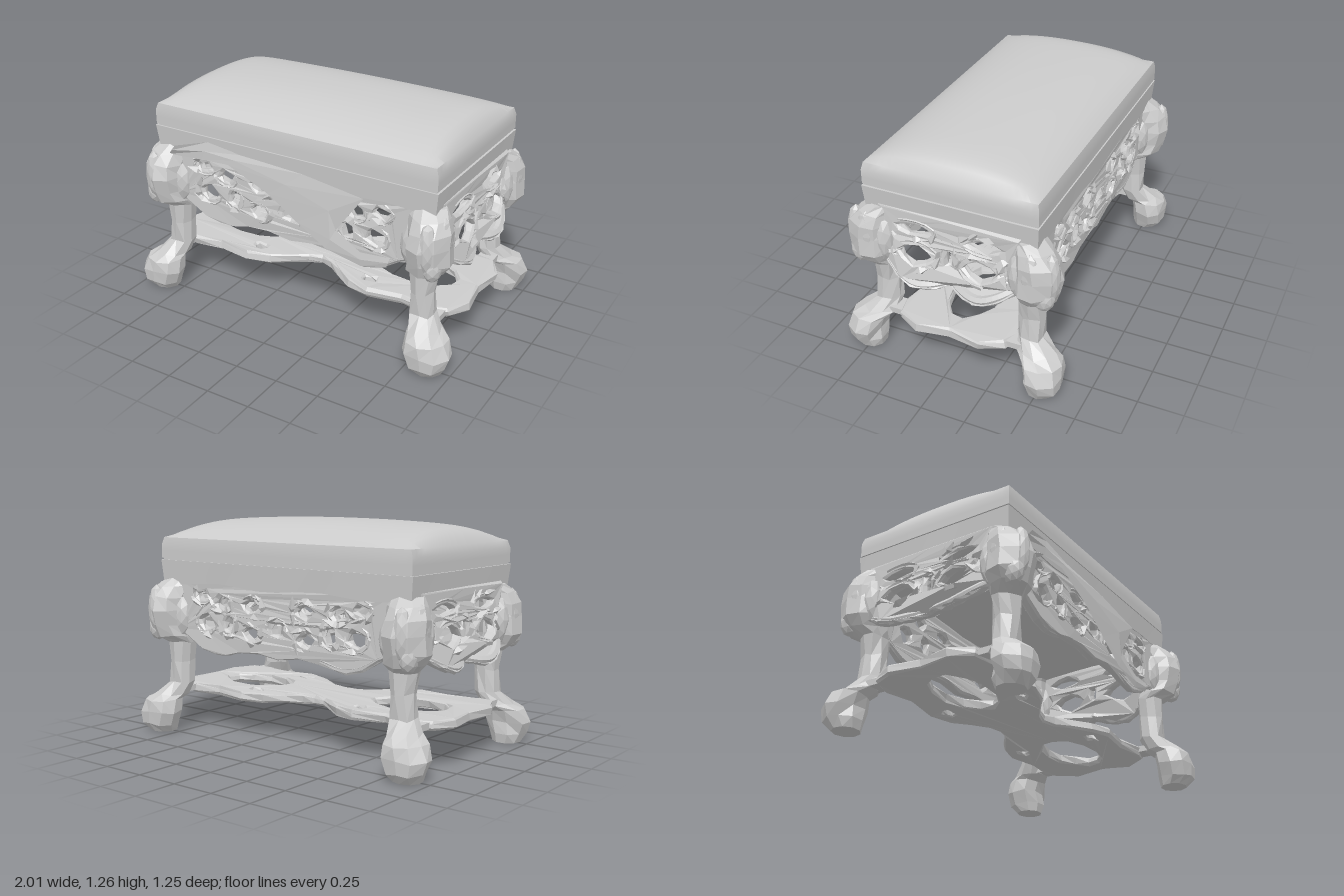
import * as THREE from 'three';
import { toCreasedNormals } from 'three/addons/utils/BufferGeometryUtils.js';

const smooth = new THREE.MeshStandardMaterial({ color: 0xcccccc });
const carved = new THREE.MeshStandardMaterial({ color: 0xcccccc, flatShading: true, side: THREE.DoubleSide });

let seed = 7;
const rand = () => (seed = (seed * 16807) % 2147483647) / 2147483647;

function add(parent, name, geometry, material = carved) {
  const mesh = new THREE.Mesh(geometry, material);
  mesh.name = name;
  parent.add(mesh);
  return mesh;
}

// Apply a rule to every vertex
function warp(geometry, rule) {
  const p = geometry.attributes.position, v = new THREE.Vector3();
  for (let i = 0; i < p.count; i++) {
    v.fromBufferAttribute(p, i);
    rule(v, i);
    p.setXYZ(i, v.x, v.y, v.z);
  }
  geometry.computeVertexNormals();
  return geometry;
}

// Same small offset for coincident vertices, for a hand-cut surface
function chisel(v, a) {
  const n = (k) => Math.sin(Math.round(v.x * 500) * 1.7 + Math.round(v.y * 500) * 2.3 + Math.round(v.z * 500) * 3.1 + k);
  const d = [n(0) * a, n(2) * a, n(4) * a];
  v.x += d[0]; v.y += d[1]; v.z += d[2];
}

// Upholstered seat: straight sides, domed top with softened ends
function seat(group) {
  const dome = warp(new THREE.BoxGeometry(1.75, 0.12, 0.975, 40, 3, 24), (v) => {
    const ux = Math.min(1, Math.abs(v.x) / 0.875), uz = Math.min(1, Math.abs(v.z) / 0.4875);
    const top = v.y > 0.059;
    v.y += 1.08;
    if (top) {
      v.y += 0.12 * Math.pow(1 - uz ** 2.4, 0.8) * Math.pow(1 - ux ** 14, 0.6) * (1 - 0.25 * ux * ux);
      v.x *= 0.985; v.z *= 0.985;
    }
  });
  add(group, 'cushion', toCreasedNormals(dome, 0.7), smooth);
  const piping = new THREE.BoxGeometry(1.735, 0.03, 0.965);
  piping.translate(0, 1.015, 0);
  add(group, 'seatGroove', piping, smooth);
  const base = warp(new THREE.BoxGeometry(1.76, 0.13, 0.98, 12, 1, 8), (v) => {
    if (v.y < 0) { v.x *= 0.985; v.z *= 0.98; v.y += 0.012 * Math.sin(v.x * 9 + v.z * 5); }
    v.y += 0.945;
  });
  add(group, 'seatFrame', toCreasedNormals(base, 0.7), smooth);
}

// Cabriole leg as stacked rings: [y, x, z, radius x, radius z]
const LEG = [
  [0, 0.87, 0.505, 0.08, 0.075], [0.05, 0.875, 0.525, 0.11, 0.1], [0.12, 0.87, 0.525, 0.13, 0.105],
  [0.19, 0.86, 0.51, 0.115, 0.1], [0.225, 0.825, 0.465, 0.095, 0.1], [0.29, 0.795, 0.42, 0.072, 0.072],
  [0.42, 0.785, 0.42, 0.07, 0.068], [0.53, 0.785, 0.42, 0.083, 0.075], [0.57, 0.815, 0.455, 0.115, 0.11],
  [0.63, 0.835, 0.468, 0.12, 0.125], [0.72, 0.838, 0.472, 0.12, 0.13], [0.8, 0.835, 0.465, 0.118, 0.125],
  [0.86, 0.82, 0.44, 0.11, 0.1], [0.91, 0.8, 0.4, 0.09, 0.07],
];
function leg(parent) {
  const sides = 9, cap = LEG.length - 1;
  const g = warp(new THREE.CylinderGeometry(1, 1, cap, sides, cap), (v) => {
    const [y, x, z, rx, rz] = LEG[Math.round(v.y + cap / 2)];
    v.set(x + v.x * rx, y, z + v.z * rz);
    if (y > 0.03) chisel(v, 0.007);
  });
  add(parent, 'cabrioleLeg', g);
  // Curled ends and leaf strap on the knee
  for (const [x, y, z, sx, sy, sz] of [
    [0.74, 0.69, 0.46, 0.07, 0.13, 0.06], [0.86, 0.71, 0.38, 0.07, 0.14, 0.06], [0.88, 0.62, 0.52, 0.05, 0.08, 0.06],
    [0.86, 0.73, 0.55, 0.05, 0.14, 0.05], [0.91, 0.74, 0.46, 0.04, 0.14, 0.06],
  ]) {
    const k = add(parent, 'kneeScroll', new THREE.IcosahedronGeometry(1, 1));
    k.position.set(x, y, z);
    k.scale.set(sx, sy, sz);
  }
}

// Irregular rounded hole
function ringPath(cx, cy, rx, ry, n = 8) {
  const pts = [];
  for (let i = 0; i < n; i++) {
    const a = -i / n * Math.PI * 2 + cx * 5, r = n > 8 || i % 2 ? 1 : 0.85;
    pts.push(new THREE.Vector2(cx + Math.cos(a) * rx * r, cy + Math.sin(a) * ry * r));
  }
  return new THREE.Path(pts);
}

// Mirrored half-lists make symmetrical outlines and holes
const mirrorHoles = (list) => list.flatMap((h) => (h[0] ? [h, [-h[0], ...h.slice(1)]] : [h]));
function plate(half, holes, depth) {
  const right = half.map((p) => new THREE.Vector2(...p));
  const left = half.filter((p) => p[0] > 0).reverse().map((p) => new THREE.Vector2(-p[0], p[1]));
  const shape = new THREE.Shape([...right, ...left]);
  shape.holes = mirrorHoles(holes).map((h) => ringPath(...h));
  return new THREE.ExtrudeGeometry(shape, {
    depth, bevelEnabled: true, bevelSize: 0.01, bevelThickness: 0.012, bevelSegments: 1,
  });
}

// Openwork apron, facing +z, with leaves and scrolls round its piercings
function apron(name, half, holes, bulge, leaves) {
  const group = new THREE.Group();
  group.name = name;
  const swell = (x, y) => bulge * Math.sin(Math.min(1, Math.abs(x) / 0.38) * Math.PI) * THREE.MathUtils.clamp((0.82 - y) / 0.26, 0, 1);
  add(group, 'piercedPanel', warp(plate(half, holes, 0.03), (v) => {
    v.z += swell(v.x, v.y);
    chisel(v, 0.005);
  }));
  for (const [cx, cy, rx, ry] of mirrorHoles(holes)) {
    const pts = [];
    for (let i = 0; i < 6; i++) {
      const a = i / 6 * Math.PI * 1.4 + cx * 7, x = cx + Math.cos(a) * (rx + 0.012), y = cy + Math.sin(a) * (ry + 0.012);
      pts.push(new THREE.Vector3(x, y, 0.03 + swell(x, y)));
      if (i >= leaves) continue;
      const leaf = add(group, 'carvedLeaf', new THREE.OctahedronGeometry(1, 0));
      leaf.position.set(x, y, 0.02 + swell(x, y) + rand() * 0.02);
      leaf.rotation.set(rand() - 0.5, rand() - 0.5, a + 1 + rand());
      leaf.scale.set(0.045 + rand() * 0.03, 0.024, 0.028);
    }
    add(group, 'scroll', new THREE.TubeGeometry(new THREE.CatmullRomCurve3(pts), 7, 0.016, 4));
  }
  // Rounded lower moulding following the scallops
  const low = half.slice(0, -2).map(([x, y]) => new THREE.Vector3(x, y + 0.015, 0.015 + swell(x, y)));
  const full = [...low.slice(1).reverse().map((p) => new THREE.Vector3(-p.x, p.y, p.z)), ...low];
  add(group, 'lowerMoulding', new THREE.TubeGeometry(new THREE.CatmullRomCurve3(full), 28, 0.025, 6));
  return group;
}

export function createModel() {
  const model = new THREE.Group();
  model.name = 'carvedStool';
  seat(model);

  for (const sx of [-1, 1]) for (const sz of [-1, 1]) {
    const corner = new THREE.Group();
    corner.name = (sz > 0 ? 'front' : 'back') + (sx > 0 ? 'Left' : 'Right') + 'Leg';
    leg(corner);
    corner.scale.set(sx, 1, sz);
    model.add(corner);
  }

  // Long aprons
  const longHalf = [[0, 0.515], [0.14, 0.535], [0.28, 0.525], [0.38, 0.5], [0.46, 0.49], [0.56, 0.515], [0.66, 0.57], [0.75, 0.62], [0.75, 0.91], [0, 0.91]];
  const longHoles = [[0.53, 0.67, 0.07, 0.06], [0.41, 0.79, 0.06, 0.05], [0.36, 0.67, 0.05, 0.06], [0.2, 0.63, 0.07, 0.045],
    [0.56, 0.82, 0.065, 0.04], [0.19, 0.78, 0.075, 0.045], [0, 0.67, 0.06, 0.05]];
  for (const s of [1, -1]) {
    const a = apron(s > 0 ? 'frontApron' : 'backApron', longHalf, longHoles, 0, s > 0 ? 3 : 5);
    a.position.z = s * 0.435;
    a.rotation.y = s > 0 ? 0 : Math.PI;
    model.add(a);
  }

  // Side aprons, their scallops swelling outwards either side of the middle
  const sideHalf = [];
  for (let i = 0; i <= 12; i++) {
    const t = i * 0.0325;
    sideHalf.push([t, t < 0.17 ? 0.535 - 0.03 * Math.sin(t / 0.17 * Math.PI / 2) : 0.505 + 0.105 * ((t - 0.17) / 0.22) ** 1.5]);
  }
  sideHalf.push([0.39, 0.91], [0, 0.91]);
  const sideHoles = [[0.18, 0.685, 0.11, 0.065], [0.2, 0.82, 0.12, 0.04], [0.33, 0.72, 0.025, 0.05], [0, 0.7, 0.035, 0.06]];
  for (const s of [1, -1]) {
    const a = apron(s > 0 ? 'leftApron' : 'rightApron', sideHalf, sideHoles, 0.07, 3);
    a.position.x = s * 0.84;
    a.rotation.y = s * Math.PI / 2;
    model.add(a);
  }

  // Diagonal sweeping drape across the front: [upper x, y, z, lower x, y, z]
  const drape = [[-0.72, 0.93, 0.53, -0.78, 0.86, 0.51], [-0.52, 0.98, 0.49, -0.56, 0.87, 0.5], [-0.3, 0.95, 0.485, -0.38, 0.88, 0.5],
    [0.1, 0.93, 0.485, -0.12, 0.77, 0.5], [0.46, 0.88, 0.485, 0.06, 0.65, 0.5], [0.3, 0.66, 0.49, 0.24, 0.54, 0.5],
    [0.45, 0.57, 0.49, 0.45, 0.49, 0.49], [0.62, 0.58, 0.48, 0.6, 0.52, 0.48]];
  const sheet = warp(new THREE.PlaneGeometry(1, 1, drape.length - 1, 2), (v, i) => {
    const r = drape[i % drape.length], row = Math.floor(i / drape.length), t = row / 2;
    v.set(r[0] + (r[3] - r[0]) * t, r[1] + (r[4] - r[1]) * t, r[2] + (r[5] - r[2]) * t + (row === 1 ? 0.006 : 0));
  });
  add(model, 'frontDrape', sheet);

  // Low pierced stretcher: a wide loop at each end, pinched waist
  const floorHalf = [[0, -0.14], [0.08, -0.16], [0.17, -0.22], [0.27, -0.29], [0.4, -0.33], [0.6, -0.3], [0.78, -0.33], [0.88, -0.3], [0.94, -0.18],
    [0.91, 0], [0.94, 0.18], [0.88, 0.3], [0.78, 0.33], [0.6, 0.3], [0.4, 0.33], [0.27, 0.29], [0.17, 0.22], [0.08, 0.16], [0, 0.14]];
  const floorHoles = [[0.55, 0, 0.25, 0.15, 12], [0.37, 0.23, 0.06, 0.04], [0.37, -0.23, 0.06, 0.04]];
  const stretcher = warp(plate(floorHalf, floorHoles, 0.03).rotateX(-Math.PI / 2), (v) => {
    v.y += 0.213 + 0.012 * Math.abs(v.x);
    chisel(v, 0.005);
  });
  add(model, 'stretcher', stretcher);
  for (const sx of [-1, 1]) for (const sz of [-1, 1]) {
    const link = add(model, 'stretcherLink', new THREE.BoxGeometry(0.1, 0.035, 0.08));
    link.position.set(sx * 0.82, 0.24, sz * 0.35);
  }
  return model;
}
